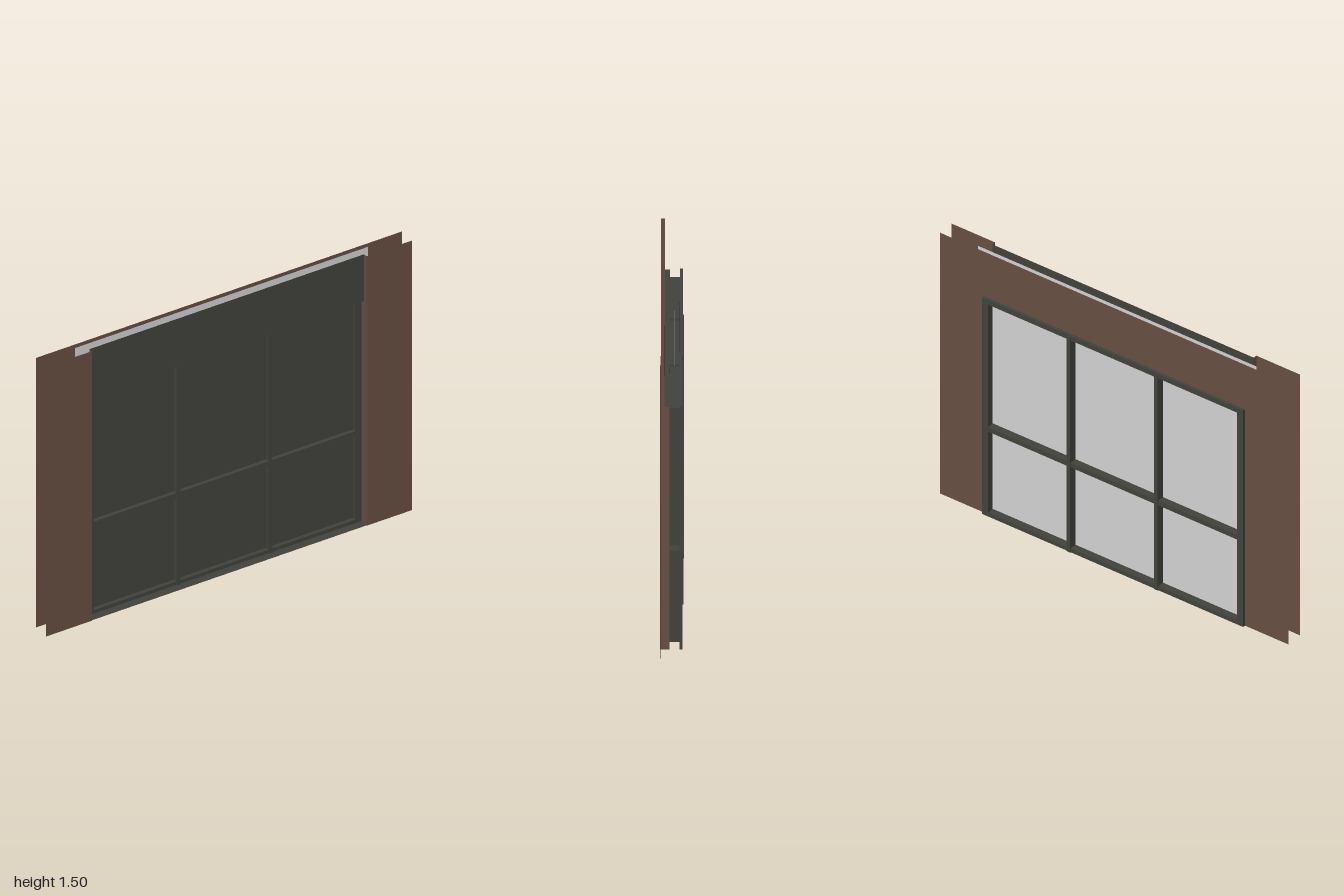
import * as THREE from 'three';

const mat = (name, color) => {
  const m = new THREE.MeshStandardMaterial({ color, side: THREE.DoubleSide });
  m.name = name;
  return m;
};

export function createModel() {
  const group = new THREE.Group();
  group.name = 'windowWall';
  const brown = mat('brown cladding', 0x674e42);
  const dark = mat('dark frame', 0x41433b);
  const grey = mat('pale grey sheet', 0xd2d2d2);

  const add = (name, geometry, material, x = 0, y = 0, z = 0) => {
    const m = new THREE.Mesh(geometry, material);
    m.name = name;
    m.position.set(x, y, z);
    group.add(m);
    return m;
  };
  // Flat sheets facing z, x and y
  const sheet = (name, material, x0, x1, y0, y1, z) =>
    add(name, new THREE.PlaneGeometry(x1 - x0, y1 - y0), material, (x0 + x1) / 2, (y0 + y1) / 2, z);
  const side = (name, material, x, y0, y1, z0, z1, face = 1) =>
    add(name, new THREE.PlaneGeometry(z1 - z0, y1 - y0).rotateY(face * Math.PI / 2), material, x, (y0 + y1) / 2, (z0 + z1) / 2);
  const level = (name, material, x0, x1, y, z0, z1, face = 1) =>
    add(name, new THREE.PlaneGeometry(x1 - x0, z1 - z0).rotateX(-face * Math.PI / 2), material, (x0 + x1) / 2, y, (z0 + z1) / 2);
  const rect = (P, x0, x1, y0, y1) => {
    const p = new P();
    p.moveTo(x0, y0); p.lineTo(x1, y0); p.lineTo(x1, y1); p.lineTo(x0, y1); p.closePath();
    return p;
  };

  const zWall = 0.053, zHead = 0.033, zFront = 0.01, zRear = -0.036, zBack = -0.05;
  const W = 0.75, headY = 1.24, topY = 1.5;

  // Front cladding beside the window, with its reveals
  for (const s of [-1, 1]) {
    sheet('frontWall', brown, s > 0 ? W : -1, s > 0 ? 1 : -W, 0, topY, zWall);
    side('lowerReveal', brown, s * W, 0, headY, zFront, zWall, -s);
    side('upperReveal', brown, s * W, headY, topY, zHead, zWall, -s);
  }

  // Header panel, its underside and the sill
  sheet('headerPanel', dark, -W, W, headY, topY, zHead);
  level('headerSoffit', dark, -W, W, headY, zFront, zHead, -1);
  level('sill', dark, -W, W, 0.002, zFront, zWall);

  // Rear wall around the window opening
  const wall = new THREE.Shape([
    [-1, 0], [-W, 0], [-W, headY], [W, headY], [W, 0], [1, 0], [1, topY], [-1, topY],
  ].map(([x, y]) => new THREE.Vector2(x, y)));
  add('rearWall', new THREE.ShapeGeometry(wall).rotateY(Math.PI).scale(-1, 1, 1).scale(-1, 1, 1), brown, 0, 0, zRear);

  // Window frame faces with six openings
  const columns = [[-0.715, -0.262], [-0.24, 0.24], [0.262, 0.715]];
  const rows = [[0.022, 0.488], [0.514, 1.218]];
  const openings = rows.flatMap(([y0, y1]) => columns.map(([x0, x1]) => [x0, x1, y0, y1]));
  const frame = (top) => {
    const s = rect(THREE.Shape, -W, W, 0, top);
    for (const o of openings) s.holes.push(rect(THREE.Path, ...o));
    return new THREE.ShapeGeometry(s);
  };
  add('frontFrame', frame(headY), dark, 0, 0, zFront);
  add('rearFrame', frame(1.245).rotateY(Math.PI), dark, 0, 0, zBack);

  // Pane linings and dark panes
  for (const [x0, x1, y0, y1] of openings) {
    side('paneLining', dark, x0, y0, y1, zBack, zFront, 1);
    side('paneLining', dark, x1, y0, y1, zBack, zFront, -1);
    level('paneLining', dark, x0, x1, y0, zBack, zFront, 1);
    level('paneLining', dark, x0, x1, y1, zBack, zFront, -1);
    sheet('pane', dark, x0, x1, y0, y1, -0.009);
  }

  // Outer edge of the rear frame
  for (const s of [-1, 1]) side('frameEdge', dark, s * W, 0, 1.245, zBack, zRear, s);
  level('frameEdge', dark, -W, W, 1.245, zBack, zRear);

  // Mullion cover strips, front and back
  for (const x of [-0.251, 0.251]) {
    add('mullionStrip', new THREE.BoxGeometry(0.022, headY, 0.004), dark, x, headY / 2, zFront + 0.002);
    add('mullionStrip', new THREE.BoxGeometry(0.022, headY, 0.004), dark, x, headY / 2, zBack - 0.002);
  }

  // Pale sheet behind the panes
  sheet('backingSheet', grey, -0.8, 0.8, 0, topY - 0.002, -0.013);

  return group;
}
